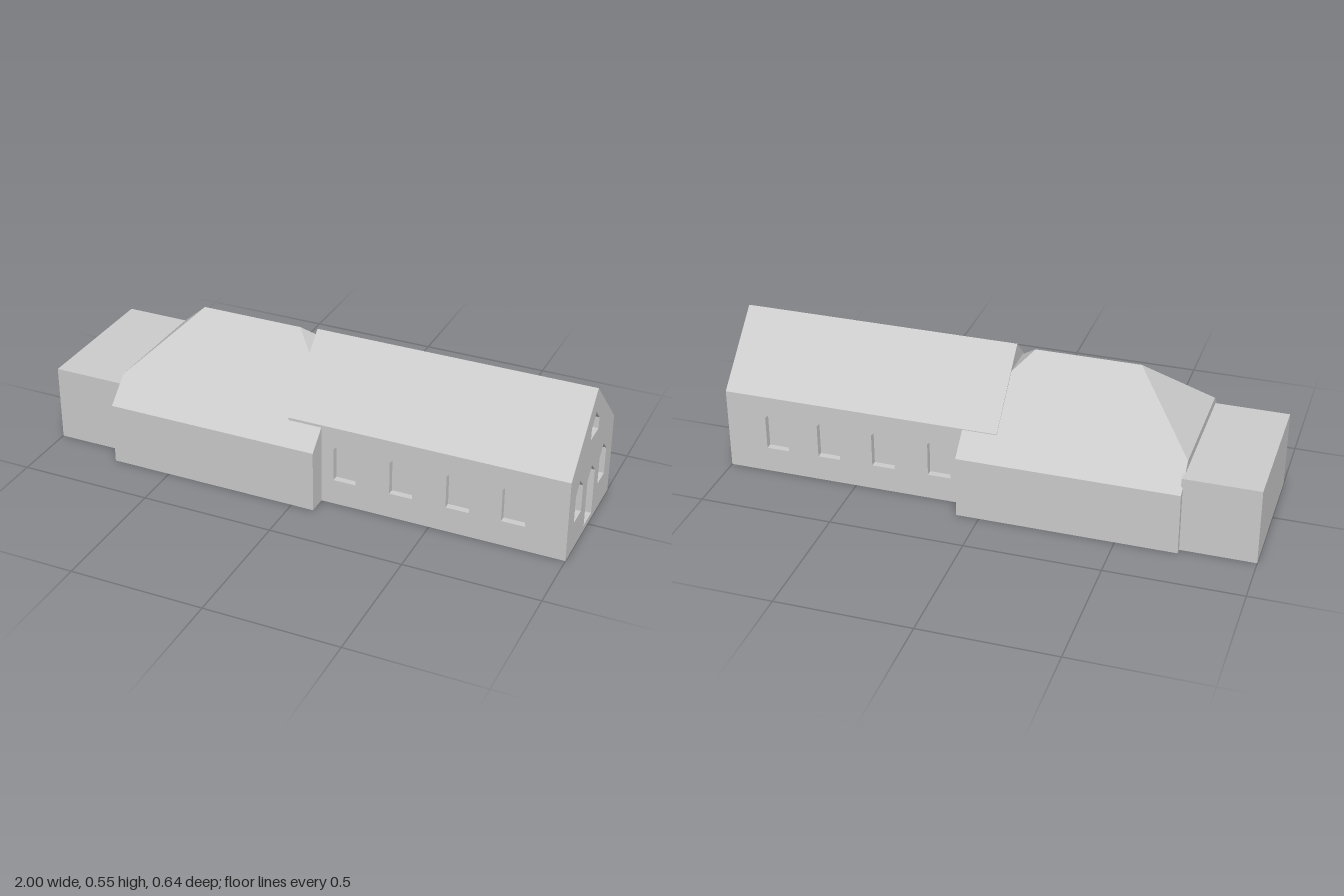
import * as THREE from 'three';

const stone = new THREE.MeshStandardMaterial({ color: 0xcccccc });
stone.name = 'pale grey';

const EAVE = 0.313, RIDGE = 0.55, HALF = 0.2465, CENTRE_Z = 0.0035, DEPTH = 0.025;
const X0 = -0.043, X1 = 1;

function mesh(name, geometry) {
  const m = new THREE.Mesh(geometry, stone);
  m.name = name;
  return m;
}

const outline = (pts) => pts.map(([x, y]) => new THREE.Vector2(x, y));

// Pointed opening centred at x: jambs up to the shoulder, then two slopes
function opening(x, width, bottom, shoulder, top) {
  const w = width / 2;
  return new THREE.Path(outline([
    [x - w, bottom], [x - w, shoulder], [x, top], [x + w, shoulder], [x + w, bottom],
  ]));
}

function slab(pts, holes, depth) {
  const shape = new THREE.Shape(outline(pts));
  shape.holes.push(...holes);
  return new THREE.ExtrudeGeometry(shape, { depth, bevelEnabled: false });
}

function createNave() {
  const nave = new THREE.Group();
  nave.name = 'nave';
  nave.position.z = CENTRE_Z;
  const inner = HALF - DEPTH, xEnd = X1 - DEPTH;

  // Solid core under the full-width gabled roof; it backs the window recesses
  const core = slab([
    [-inner, 0], [inner, 0], [inner, EAVE], [HALF, EAVE],
    [0, RIDGE], [-HALF, EAVE], [-inner, EAVE],
  ], [], xEnd - X0);
  core.rotateY(Math.PI / 2).translate(X0, 0, 0);
  nave.add(mesh('naveRoofAndCore', core));

  // Long side walls with four recessed windows each
  for (const [name, z] of [['frontWall', inner], ['backWall', -HALF]]) {
    const windows = [0.175, 0.39, 0.602, 0.806].map((x) => opening(x, 0.086, 0.098, 0.225, 0.27));
    const wall = slab([[X0, 0], [xEnd, 0], [xEnd, EAVE], [X0, EAVE]], windows, DEPTH);
    wall.translate(0, 0, z);
    nave.add(mesh(name, wall));
  }

  // Gable wall with door, two side windows and a high window
  const gable = slab(
    [[-HALF, 0], [HALF, 0], [HALF, EAVE], [0, RIDGE], [-HALF, EAVE]],
    [
      opening(0, 0.088, 0.022, 0.202, 0.245),
      opening(-0.137, 0.08, 0.114, 0.22, 0.26),
      opening(0.134, 0.08, 0.114, 0.22, 0.26),
      opening(0, 0.088, 0.37, 0.413, 0.457),
    ], DEPTH);
  gable.rotateY(Math.PI / 2).translate(xEnd, 0, 0);
  nave.add(mesh('gableWall', gable));
  return nave;
}

// Hall with half-hipped roof, lofted through sections [x, half width of the cut ridge]
function hallGeometry() {
  const w = 0.322, eave = 0.235, ridge = 0.54;
  const sections = [[-0.726, 0.23], [-0.5, 0], [-0.112, 0], [0.085, 0.195]].map(([x, z]) => {
    const y = ridge - (ridge - eave) * z / w;
    return [[x, 0, w], [x, eave, w], [x, y, z], [x, y, -z], [x, eave, -w], [x, 0, -w]];
  });
  const pos = [];
  const tri = (a, b, c) => pos.push(...a, ...b, ...c);
  for (let s = 0; s < 3; s++) {
    const a = sections[s], b = sections[s + 1];
    for (let i = 0; i < 6; i++) {
      const j = (i + 1) % 6;
      tri(a[i], b[i], b[j]);
      tri(a[i], b[j], a[j]);
    }
  }
  const left = sections[0], right = sections[3];
  for (let i = 1; i < 5; i++) {
    tri(left[0], left[i], left[i + 1]);
    tri(right[0], right[i + 1], right[i]);
  }
  const g = new THREE.BufferGeometry();
  g.setAttribute('position', new THREE.Float32BufferAttribute(pos, 3));
  g.computeVertexNormals();
  return g;
}

export function createModel() {
  const model = new THREE.Group();
  model.name = 'chapel';
  model.add(createNave());
  model.add(mesh('hall', hallGeometry()));

  // Flat-roofed annex
  const annex = new THREE.BoxGeometry(0.28, 0.29, 0.547);
  annex.translate(-0.86, 0.145, -0.0255);
  model.add(mesh('annex', annex));
  return model;
}
